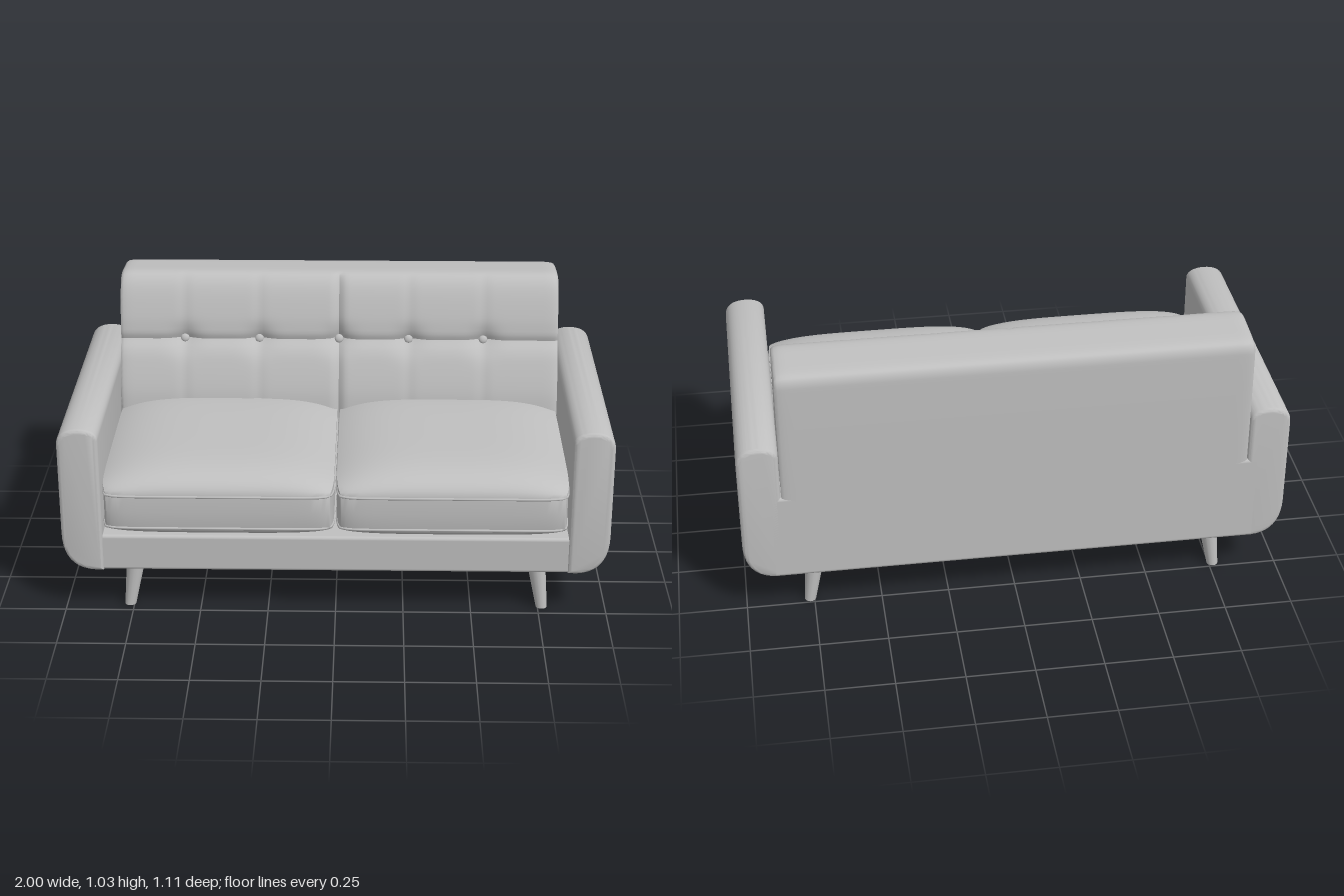
import * as THREE from 'three';
import { toCreasedNormals, mergeVertices } from 'three/addons/utils/BufferGeometryUtils.js';
import { RoundedBoxGeometry } from 'three/addons/geometries/RoundedBoxGeometry.js';

const fabric = new THREE.MeshStandardMaterial({ color: 0xbfbfbf });
fabric.name = 'grey fabric';

const BUTTONS = [-0.6, -0.31, 0, 0.27, 0.56];
const SEAM_Y = 0.785;
const bump = (d, w) => Math.exp(-((d / w) ** 2));

function add(parent, name, geometry, x = 0, y = 0, z = 0) {
  const mesh = new THREE.Mesh(geometry, fabric);
  mesh.name = name;
  mesh.position.set(x, y, z);
  parent.add(mesh);
  return mesh;
}

// Arm outline in x-y, extruded along z with a small bevel
function armGeometry(side) {
  const b = 0.015;
  const s = new THREE.Shape();
  s.moveTo(0.85, 0.17);
  s.lineTo(0.885, 0.17);
  s.bezierCurveTo(0.96, 0.175, 1, 0.225, 1, 0.32);
  s.lineTo(1, 0.67);
  s.bezierCurveTo(1, 0.715, 0.965, 0.733, 0.92, 0.733);
  s.bezierCurveTo(0.885, 0.733, 0.85, 0.72, 0.85, 0.69);
  s.closePath();
  if (side < 0) {
    const pts = s.getPoints(10).map(p => new THREE.Vector2(-p.x, p.y)).reverse();
    s.curves = [];
    s.setFromPoints(pts);
  }
  const g = new THREE.ExtrudeGeometry(s, {
    depth: 1.07 - 2 * b, curveSegments: 10, bevelEnabled: true,
    bevelSize: b, bevelOffset: -b, bevelThickness: b, bevelSegments: 4,
  });
  g.translate(0, 0, -0.555 + b);
  return toCreasedNormals(g, 0.6);
}

// Boxed seat cushion with domed top and underside
const HALF_W = 0.419, HALF_D = 0.43;
const softCorner = (u, v) => [
  HALF_W * u * (1 - 0.035 * Math.abs(v) ** 14),
  HALF_D * v * (1 - 0.035 * Math.abs(u) ** 14),
];
function seatGeometry() {
  const g = new THREE.BoxGeometry(2, 2, 2, 32, 2, 32);
  const p = g.attributes.position;
  for (let i = 0; i < p.count; i++) {
    const u = Math.sin(p.getX(i) * Math.PI / 2), v = Math.sin(p.getZ(i) * Math.PI / 2);
    const level = p.getY(i);
    const dome = Math.sqrt(Math.max(0, 1 - Math.abs(v) ** 5)) * (0.45 + 0.55 * (1 - Math.abs(u) ** 4));
    const y = level > 0.5 ? 0.49 + 0.09 * dome : level < -0.5 ? 0.365 - 0.055 * dome : 0.4275;
    const [x, z] = softCorner(u, v);
    p.setXYZ(i, x, y, z);
  }
  return toCreasedNormals(g, 0.7);
}

// Piping loop following the cushion edge
function pipingGeometry() {
  const pts = [];
  const n = 16;
  const sides = [[1, 0], [0, 1], [-1, 0], [0, -1]];
  sides.forEach(([a, b]) => {
    for (let i = 0; i < n; i++) {
      const t = Math.sin((i / n * 2 - 1) * Math.PI / 2);
      const [x, z] = softCorner(a - b * t, b + a * t);
      pts.push(new THREE.Vector3(x, 0, z));
    }
  });
  return new THREE.TubeGeometry(new THREE.CatmullRomCurve3(pts, true), 128, 0.005, 6, true);
}

// Tufted back cushion: a side profile swept across the width
function backGeometry() {
  const profile = new THREE.SplineCurve([
    [-0.15, 0.49], [-0.165, 0.6], [-0.205, 0.72], [-0.24, 0.785], [-0.258, 0.87],
    [-0.288, 0.96], [-0.318, 1.01], [-0.355, 1.029], [-0.44, 1.025], [-0.525, 1.015],
    [-0.547, 0.995], [-0.552, 0.94], [-0.555, 0.7], [-0.555, 0.49],
  ].map(([z, y]) => new THREE.Vector2(z, y))).getSpacedPoints(100);
  const rings = [[0.848, 0.001], [0.848, 0.95], [0.844, 0.972], [0.836, 0.987], [0.82, 0.997]];
  const stations = rings.map(([x, s]) => [-x, s]);
  for (let i = 0; i <= 120; i++) stations.push([-0.8 + 1.6 * i / 120, 1]);
  stations.push(...rings.slice().reverse());

  const pos = [], idx = [], n = profile.length;
  stations.forEach(([x, s]) => profile.forEach((q, k) => {
    let z = q.x, y = q.y;
    if (k < 60 && z > -0.37) {
      // crosswise seam, vertical pulls and button dents
      const fade = THREE.MathUtils.smoothstep(z, -0.37, -0.3);
      let dent = 0.012 * bump(y - SEAM_Y, 0.014) + 0.014 * bump(x, 0.012);
      BUTTONS.forEach(bx => {
        dent += 0.004 * bump(x - bx, 0.02) + 0.018 * bump(Math.hypot(x - bx, y - SEAM_Y), 0.05);
      });
      z -= dent * fade;
    }
    pos.push(x, 0.75 + (y - 0.75) * s, -0.4 + (z + 0.4) * s);
  }));
  for (let i = 0; i < stations.length - 1; i++) {
    for (let k = 0; k < n; k++) {
      const k2 = (k + 1) % n;
      const a = i * n + k, b = a + n, c = (i + 1) * n + k2, d = i * n + k2;
      idx.push(a, b, c, a, c, d);
    }
  }
  const g = new THREE.BufferGeometry();
  g.setAttribute('position', new THREE.Float32BufferAttribute(pos, 3));
  g.setIndex(idx);
  return mergeVertices(toCreasedNormals(g, 0.7));
}

// Tapered leg leaning outward towards its foot
function legGeometry(sx, sz) {
  const g = new THREE.CylinderGeometry(0.036, 0.021, 0.19, 14);
  g.translate(0, 0.095, 0);
  const p = g.attributes.position;
  for (let i = 0; i < p.count; i++) {
    const t = 1 - p.getY(i) / 0.19;
    p.setX(i, p.getX(i) + sx * 0.027 * t);
    p.setZ(i, p.getZ(i) + sz * 0.015 * t);
  }
  g.computeVertexNormals();
  return toCreasedNormals(g, 0.7);
}

export function createModel() {
  const sofa = new THREE.Group();
  sofa.name = 'sofa';

  // Frame
  add(sofa, 'base', new RoundedBoxGeometry(1.76, 0.14, 1.05, 4, 0.012), 0, 0.24, -0.02);
  add(sofa, 'backPanel', new RoundedBoxGeometry(1.8, 0.35, 0.16, 4, 0.015), 0, 0.345, -0.475);
  for (const s of [1, -1]) add(sofa, s > 0 ? 'leftArm' : 'rightArm', armGeometry(s));

  // Seat cushions with piping
  for (const s of [1, -1]) {
    const seat = new THREE.Group();
    seat.name = s > 0 ? 'leftSeat' : 'rightSeat';
    seat.position.set(s * 0.424, 0, 0.122);
    add(seat, 'seatCushion', seatGeometry());
    for (const y of [0.49, 0.365]) add(seat, 'seatPiping', pipingGeometry(), 0, y, 0);
    sofa.add(seat);
  }

  // Backrest and buttons
  add(sofa, 'backCushion', backGeometry());
  for (const x of BUTTONS) {
    const button = add(sofa, 'button', new THREE.SphereGeometry(0.017, 14, 10), x, SEAM_Y, -0.268);
    button.scale.z = 0.6;
    button.rotation.x = -0.35;
  }

  // Legs
  for (const sx of [1, -1]) {
    for (const sz of [1, -1]) {
      add(sofa, sz > 0 ? 'frontLeg' : 'backLeg', legGeometry(sx, sz), sx * 0.738, 0, sz > 0 ? 0.43 : -0.46);
    }
  }
  return sofa;
}
